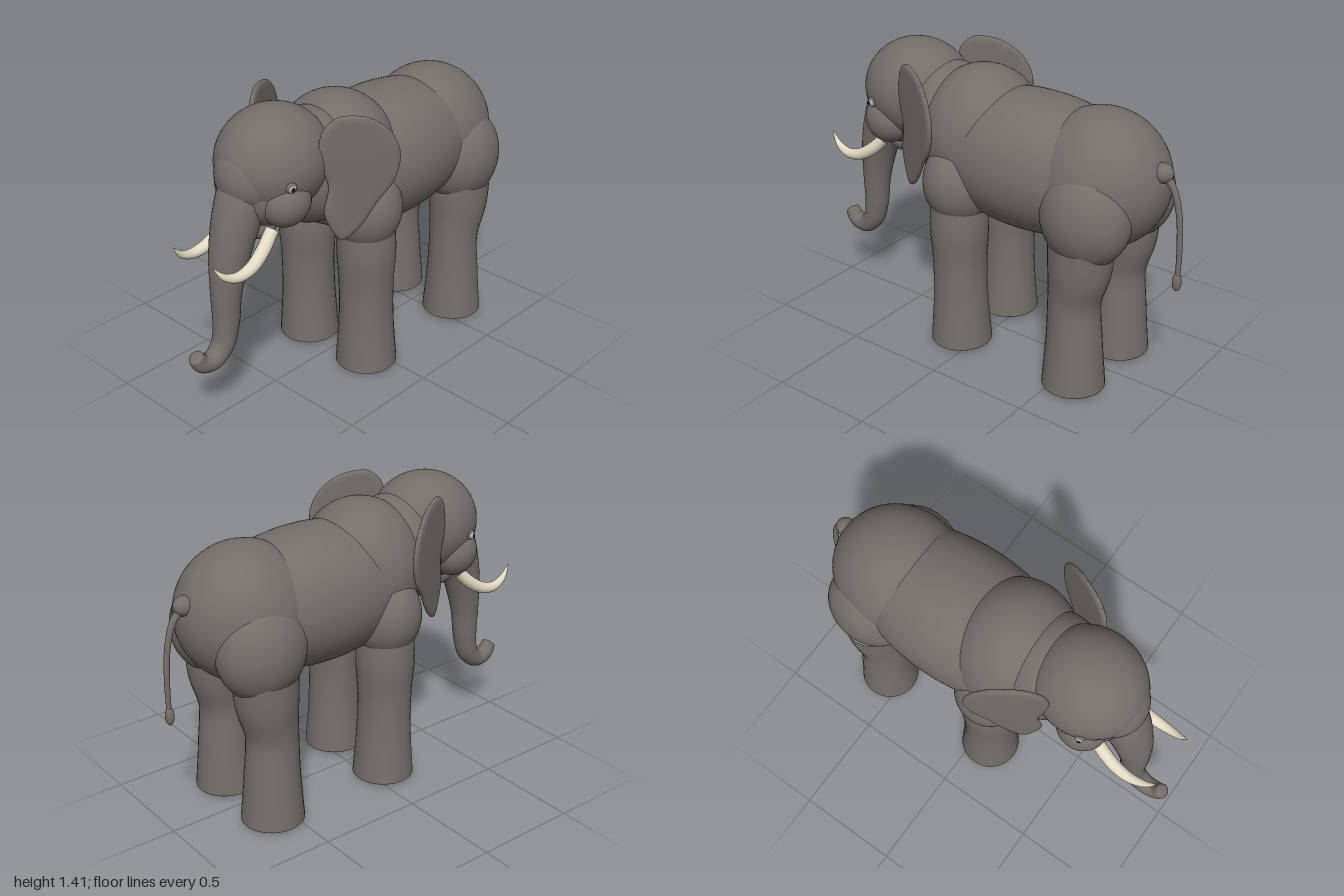
import * as THREE from 'three';
import { mergeVertices, toCreasedNormals } from 'three/addons/utils/BufferGeometryUtils.js';

const flat = (name, color) => {
  const m = new THREE.MeshStandardMaterial({ color });
  m.name = name;
  return m;
};

// Round tube through points [x, y, z, radius], smooth in path and thickness
function taper(points, steps = 8, sides = 32) {
  const path = new THREE.CatmullRomCurve3(points.map(p => new THREE.Vector3(p[0], p[1], p[2])));
  const girth = new THREE.CatmullRomCurve3(points.map((p, i) => new THREE.Vector3(p[3], i * 0.1, 0)));
  path.getUtoTmapping = u => u;
  const n = steps * (points.length - 1);
  let geo = new THREE.TubeGeometry(path, n, 1, sides);
  const pos = geo.attributes.position, v = new THREE.Vector3();
  for (let i = 0; i <= n; i++) {
    const c = path.getPoint(i / n), r = girth.getPoint(i / n).x;
    for (let j = 0; j <= sides; j++) {
      const k = i * (sides + 1) + j;
      v.fromBufferAttribute(pos, k).sub(c).multiplyScalar(r).add(c);
      pos.setXYZ(k, v.x, v.y, v.z);
    }
  }
  geo.deleteAttribute('uv');
  geo.deleteAttribute('normal');
  geo = mergeVertices(geo, 1e-5);
  geo.computeVertexNormals();
  return geo;
}

// Thin lens-shaped ear: u runs from the head outwards, v is height
function earGeometry() {
  const outline = [[0.01, 1.2], [0.03, 1.32], [0.08, 1.375], [0.14, 1.39], [0.25, 1.365], [0.345, 1.29],
    [0.39, 1.18], [0.365, 1.06], [0.285, 0.96], [0.225, 0.875], [0.17, 0.82], [0.115, 0.8],
    [0.07, 0.86], [0.04, 0.95], [0.06, 1.07]].map(p => new THREE.Vector2(...p));
  const shape = new THREE.Shape();
  shape.moveTo(outline[0].x, outline[0].y);
  shape.splineThru([...outline.slice(1), outline[0].clone()]);
  const geo = new THREE.ExtrudeGeometry(shape, {
    depth: 0.004, curveSegments: 60, bevelEnabled: true, bevelSegments: 5,
    bevelSize: 0.035, bevelOffset: -0.035, bevelThickness: 0.012,
  });
  geo.translate(0, 0, -0.002);
  return toCreasedNormals(geo, 0.7);
}

export function createModel() {
  const skin = flat('grey skin', 0x746e69);
  const ivory = flat('ivory', 0xe2dac4);
  const eyeGrey = flat('eye grey', 0xb5afa8);
  const black = flat('pupil black', 0x151312);

  const model = new THREE.Group();
  model.name = 'elephant';
  const add = (name, geo, mat = skin) => {
    const mesh = new THREE.Mesh(geo, mat);
    mesh.name = name;
    model.add(mesh);
    return mesh;
  };
  const ball = (name, center, radii, mat = skin) => {
    const mesh = add(name, new THREE.SphereGeometry(1, 48, 32), mat);
    mesh.position.set(...center);
    mesh.scale.set(...radii);
    return mesh;
  };

  // Trunk of the body
  ball('belly', [0, 0.975, -0.22], [0.325, 0.325, 0.6]);
  ball('chest', [0, 1.04, 0.08], [0.3, 0.325, 0.29]);
  ball('rump', [0, 0.985, -0.575], [0.3, 0.32, 0.32]);
  ball('neck', [0, 1.07, 0.27], [0.25, 0.27, 0.24]);

  // Head
  ball('skull', [0, 1.17, 0.47], [0.245, 0.245, 0.27]);
  ball('muzzle', [0, 1.06, 0.52], [0.21, 0.175, 0.2]);
  ball('brow', [0, 1.14, 0.58], [0.17, 0.18, 0.18]);
  ball('jaw', [0, 0.885, 0.57], [0.08, 0.065, 0.085]);

  // Trunk, curling forward at the tip
  add('trunk', taper([
    [0, 1.1, 0.63, 0.12], [0, 0.97, 0.69, 0.11], [0, 0.8, 0.745, 0.092], [0, 0.62, 0.775, 0.071],
    [0, 0.47, 0.785, 0.061], [0, 0.37, 0.81, 0.054], [0, 0.314, 0.872, 0.048],
    [0, 0.325, 0.935, 0.043], [0, 0.368, 0.966, 0.036]]));
  ball('trunkTip', [0, 0.368, 0.966], [0.036, 0.012, 0.036]).rotation.x = 0.6;

  // Tail with its root and tuft
  ball('tailRoot', [0, 1.085, -0.875], [0.045, 0.045, 0.05]);
  add('tail', taper([
    [0, 1.08, -0.88, 0.022], [0, 1.03, -0.93, 0.016], [0, 0.92, -0.966, 0.014],
    [0, 0.77, -0.98, 0.013], [0, 0.6, -0.981, 0.011]], 8, 16));
  ball('tailTuft', [0, 0.59, -0.979], [0.021, 0.045, 0.021]);

  const ear = earGeometry();
  for (const s of [1, -1]) {
    const side = s > 0 ? 'left' : 'right';

    // Legs with slightly domed soles
    ball(side + 'Shoulder', [s * 0.19, 0.85, 0.08], [0.17, 0.2, 0.17]);
    ball(side + 'Hip', [s * 0.185, 0.875, -0.615], [0.175, 0.235, 0.215]);
    const legs = {
      FrontLeg: [[0.75, 0.08, 0.135], [0.62, 0.078, 0.14], [0.45, 0.077, 0.13], [0.25, 0.075, 0.132], [0.018, 0.073, 0.148]],
      HindLeg: [[0.75, -0.605, 0.15], [0.62, -0.6, 0.144], [0.45, -0.578, 0.122], [0.25, -0.582, 0.13], [0.018, -0.585, 0.148]],
    };
    for (const [name, rows] of Object.entries(legs)) {
      add(side + name, taper(rows.map(([y, z, r]) => [s * 0.194, y, z, r])));
      const sole = add(side + name + 'Sole', new THREE.ConeGeometry(0.148, 0.018, 32));
      sole.rotation.x = Math.PI;
      sole.position.set(s * 0.194, 0.009, rows[4][1]);
    }

    // Ear, swept back and outwards
    const flap = add(side + 'Ear', ear);
    flap.position.set(s * 0.205, 0, 0.42);
    flap.rotation.y = Math.atan2(0.88, s * 0.47);

    // Cheek and eye
    ball(side + 'Cheek', [s * 0.14, 1.04, 0.54], [0.113, 0.12, 0.12]);
    ball(side + 'Eyelid', [s * 0.216, 1.137, 0.572], [0.022, 0.027, 0.027]);
    ball(side + 'Eye', [s * 0.224, 1.134, 0.575], [0.019, 0.019, 0.02], eyeGrey);
    ball(side + 'Pupil', [s * 0.237, 1.134, 0.579], [0.008, 0.011, 0.011], black);

    // Tusk, sweeping forward and up
    add(side + 'Tusk', taper([
      [s * 0.12, 0.91, 0.6, 0.03], [s * 0.133, 0.845, 0.665, 0.031], [s * 0.145, 0.795, 0.745, 0.029],
      [s * 0.148, 0.782, 0.825, 0.024], [s * 0.14, 0.808, 0.895, 0.016], [s * 0.128, 0.865, 0.945, 0.002]], 6, 20), ivory);
  }
  return model;
}
